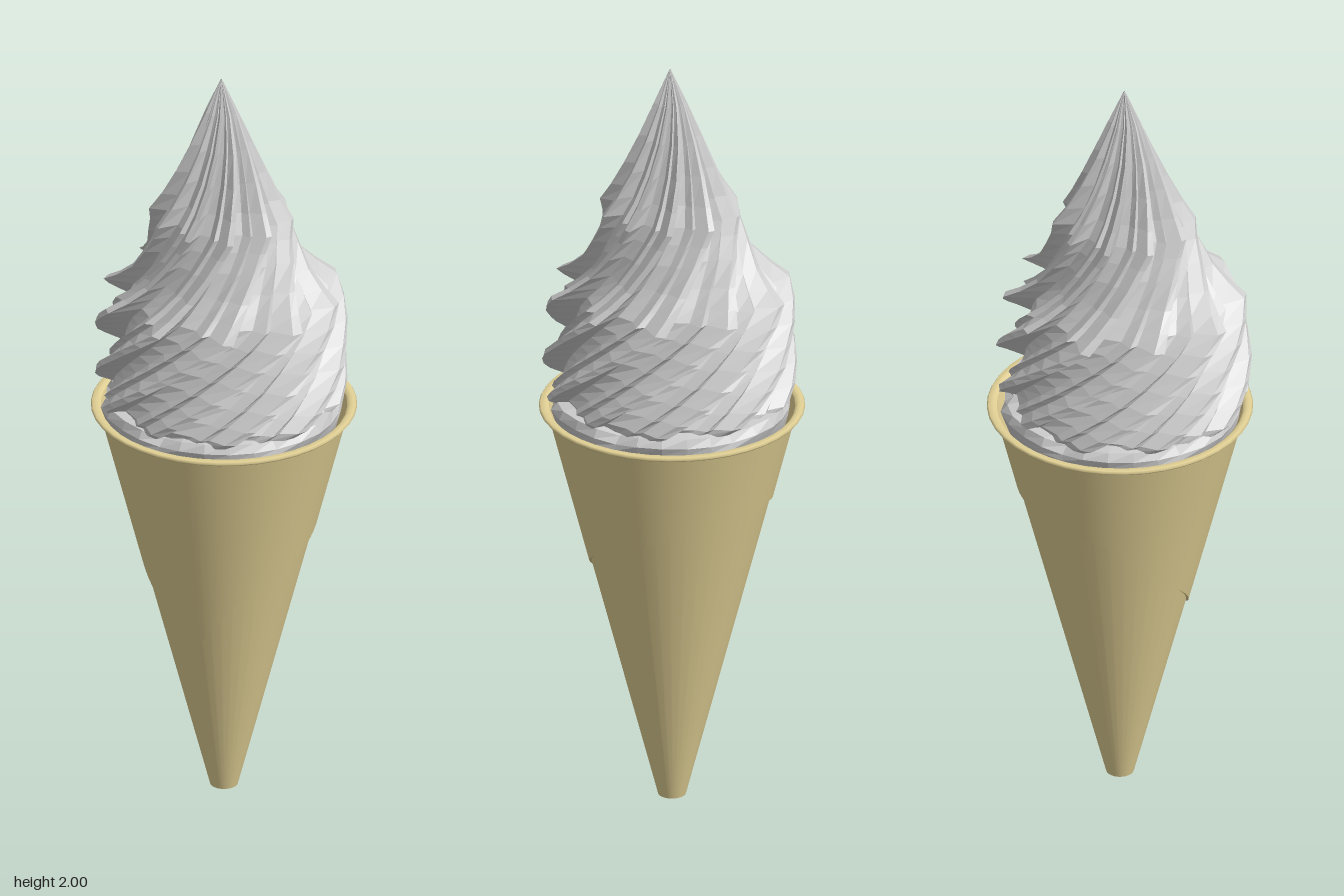
import * as THREE from 'three';

const RIDGES = 10;
const coneRadius = (y) => 0.035 + (0.276 * y) / 1.075;

// Skins rows of points (bottom to top, angle growing from +x to +z).
function skin(rows) {
  const n = rows[0].length;
  const index = [];
  for (let i = 0; i < rows.length - 1; i++) {
    for (let j = 0; j < n; j++) {
      const a = i * n + j, b = i * n + ((j + 1) % n);
      index.push(a, a + n, b, b, a + n, b + n);
    }
  }
  const g = new THREE.BufferGeometry();
  g.setAttribute('position', new THREE.Float32BufferAttribute(rows.flat(2), 3));
  g.setIndex(index);
  g.computeVertexNormals();
  return g;
}

const polar = (r, a, y) => [r * Math.cos(a), y, r * Math.sin(a)];

// Twisted star sections: height, ridge radius, groove ratio
function swirlGeometry() {
  const sections = [
    [1.1, 0.25, 1], [1.105, 0.3, 0.9], [1.125, 0.322, 0.86], [1.16, 0.327, 0.82],
    [1.2, 0.327, 0.79], [1.24, 0.326, 0.77], [1.28, 0.318, 0.77], [1.32, 0.318, 0.75],
    [1.36, 0.316, 0.74], [1.4, 0.312, 0.72], [1.43, 0.27, 0.75], [1.47, 0.23, 0.78],
    [1.53, 0.202, 0.79], [1.58, 0.186, 0.77], [1.62, 0.184, 0.7], [1.67, 0.152, 0.68],
    [1.74, 0.116, 0.68], [1.82, 0.08, 0.7], [1.91, 0.042, 0.72], [2, 0.002, 1],
  ];
  // Leaning tooth with a small fold in the groove: fraction of pitch, depth
  const tooth = [[0, 0], [0.14, 0.06], [0.34, 0.65], [0.46, 0.5], [0.6, 0.9], [0.93, 1]];
  const twist = (y) => (y > 1.62 ? 1.6 * (y - 1.62) : y > 1.4 ? 3.2 * (y - 1.62) : -0.7 + 4.5 * (y - 1.4));
  const rows = sections.map(([y, r, groove]) => {
    const row = [];
    for (let k = 0; k < RIDGES; k++) {
      const uneven = 1 - 0.015 * (1 + Math.sin(k * 2.4 + y * 5));
      for (const [f, depth] of tooth) {
        const a = ((k + f) / RIDGES) * Math.PI * 2 + 0.1 - twist(y);
        row.push(polar(r * uneven * (1 - depth * (1 - groove)), a, y));
      }
    }
    return row;
  });
  return skin(rows);
}

// Lumpy layer that the ridges rest on
function fillingGeometry() {
  const profile = [[1.02, 0.285, 0], [1.07, 0.3, 0.003], [1.09, 0.304, 0.008], [1.11, 0.29, 0.012], [1.125, 0.2, 0]];
  const n = 30;
  return skin(profile.map(([y, r, lump]) => Array.from({ length: n }, (_, j) => {
    const wave = Math.sin(j * 1.26 + y * 30) + 0.5 * Math.sin(j * 2.5);
    return polar(r + lump * wave, (j / n) * Math.PI * 2, y + lump * 0.6 * wave);
  })));
}

// Overlapping wafer layer with a slanting lower edge
function wrapGeometry() {
  const edge = [[-90, 0.86], [-45, 0.78], [0, 0.7], [43, 0.6], [66, 0.5], [73, 0.48], [90, 0.51],
    [139, 0.65], [180, 0.8], [225, 0.85], [270, 0.86]];
  const edgeHeight = (deg) => {
    const i = Math.max(1, edge.findIndex((p) => p[0] >= deg));
    const [a, b] = [edge[i - 1], edge[i]];
    return THREE.MathUtils.mapLinear(deg, a[0], b[0], a[1], b[1]);
  };
  const inner = [], outer = [], top = [];
  const n = 72;
  for (let j = 0; j < n; j++) {
    const deg = -90 + (360 * j) / n;
    const a = THREE.MathUtils.degToRad(deg);
    const y = edgeHeight(deg);
    inner.push(polar(coneRadius(y) - 0.002, a, y));
    outer.push(polar(coneRadius(y) + 0.006, a, y));
    top.push(polar(coneRadius(1.075) + 0.005, a, 1.075));
  }
  // The doubled row keeps the edge sharp
  return skin([inner, outer, outer, top]);
}

export function createModel() {
  const group = new THREE.Group();
  const wafer = new THREE.MeshStandardMaterial({ color: 0xe0cf94, side: THREE.DoubleSide });
  const cream = new THREE.MeshStandardMaterial({ color: 0xcccccc, side: THREE.DoubleSide, flatShading: true });

  const add = (name, geometry, material) => {
    const mesh = new THREE.Mesh(geometry, material);
    mesh.name = name;
    group.add(mesh);
    return mesh;
  };
  const lathe = (points) => new THREE.LatheGeometry(points.map((p) => new THREE.Vector2(...p)), 40);

  // Hollow cone with a flat tip
  add('cone', lathe([[0.035, 0], [coneRadius(1.075), 1.075]]), wafer);
  add('coneTip', new THREE.CircleGeometry(0.035, 40).rotateX(Math.PI / 2), wafer);
  add('coneWrap', wrapGeometry(), wafer);

  // Thin rolled lip
  add('coneRim', lathe([[0.313, 1.07], [0.331, 1.071], [0.335, 1.076], [0.331, 1.082], [0.324, 1.079], [0.318, 1.083], [0.31, 1.076]]), wafer);

  // Soft swirl and the filling beneath it, set slightly forward
  add('swirl', swirlGeometry(), cream).position.z = 0.011;
  add('filling', fillingGeometry(), cream).position.z = 0.005;

  return group;
}
